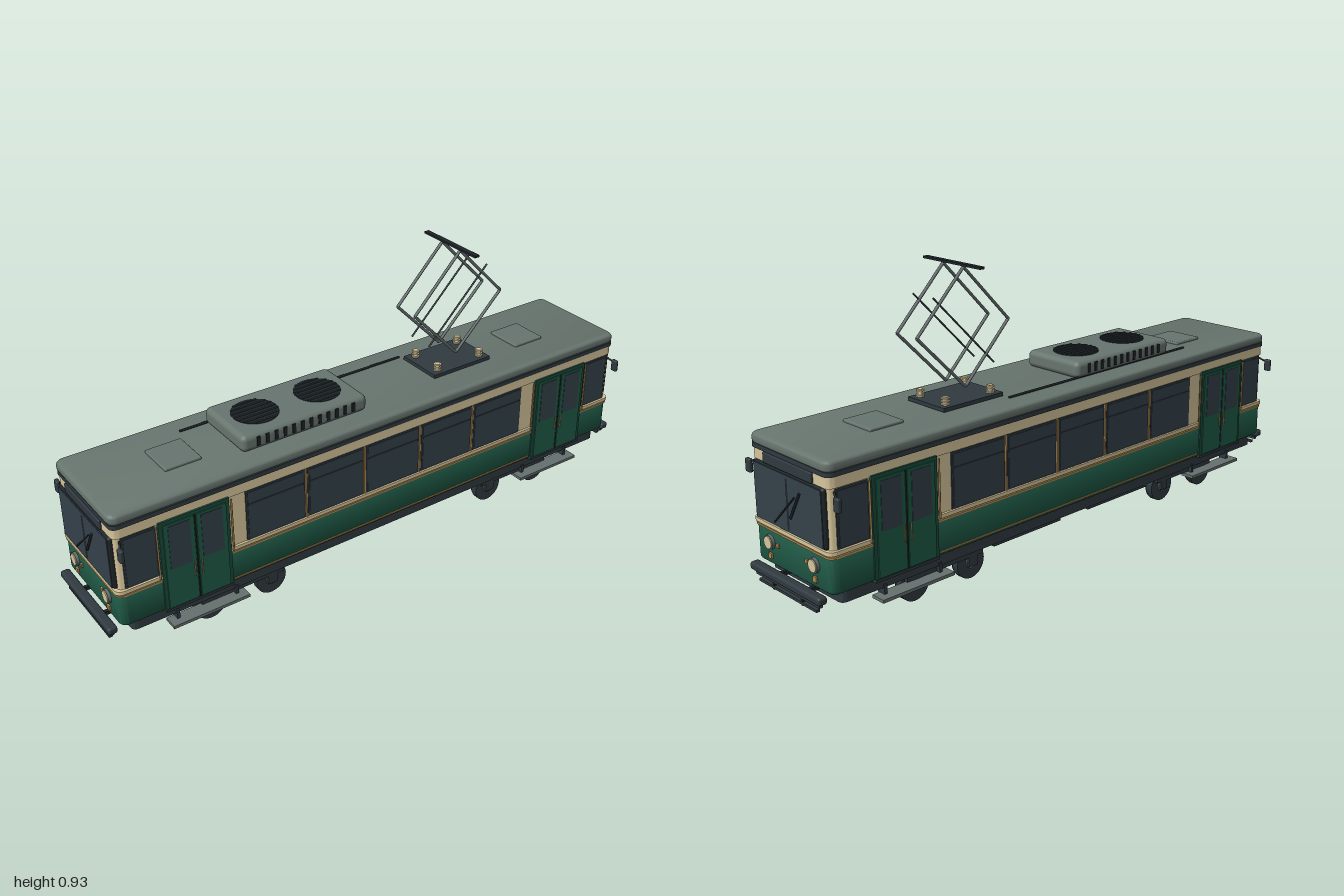
import * as THREE from 'three';
import { toCreasedNormals } from 'three/addons/utils/BufferGeometryUtils.js';
import { RoundedBoxGeometry } from 'three/addons/geometries/RoundedBoxGeometry.js';

const paint = (name, color) => Object.assign(new THREE.MeshStandardMaterial({ color }), { name });

export function createModel() {
  const green = paint('body green', 0x1f5a47);
  const darkGreen = paint('door green', 0x194b3c);
  const cream = paint('cream', 0xd8c79c);
  const gold = paint('gold trim', 0xb08a52);
  const roofGrey = paint('roof grey', 0x68756f);
  const glass = paint('glass', 0x34414a);
  const dark = paint('underframe dark', 0x303a40);
  const black = paint('black', 0x1d2327);
  const metal = paint('metal grey', 0x66706f);

  const tram = new THREE.Group();
  tram.name = 'tram';

  const group = (name, parent = tram) => {
    const g = new THREE.Group();
    g.name = name;
    parent.add(g);
    return g;
  };
  const add = (name, geo, mat, x, y, z, parent = tram) => {
    const m = new THREE.Mesh(geo, mat);
    m.name = name;
    m.position.set(x, y, z);
    parent.add(m);
    return m;
  };
  const box = (name, mat, w, h, d, x, y, z, parent) =>
    add(name, new THREE.BoxGeometry(w, h, d), mat, x, y, z, parent);
  const rounded = (name, mat, w, h, d, r, x, y, z, parent) =>
    add(name, new RoundedBoxGeometry(w, h, d, 3, r), mat, x, y, z, parent);
  const cyl = (name, mat, r, h, axis, x, y, z, parent, sides = 20) => {
    const geo = new THREE.CylinderGeometry(r, r, h, sides);
    if (axis === 'x') geo.rotateZ(-Math.PI / 2);
    if (axis === 'z') geo.rotateX(Math.PI / 2);
    return add(name, geo, mat, x, y, z, parent);
  };
  // Thin rod between two points
  const rod = (name, mat, a, b, r, parent) => {
    const p = new THREE.Vector3(...a), q = new THREE.Vector3(...b);
    const mid = p.clone().add(q).multiplyScalar(0.5);
    const m = cyl(name, mat, r, p.distanceTo(q), 'y', mid.x, mid.y, mid.z, parent, 8);
    m.quaternion.setFromUnitVectors(new THREE.Vector3(0, 1, 0), q.sub(p).normalize());
    return m;
  };
  // Horizontal slab with rounded plan corners and optional rounded rims
  const slab = (name, mat, hx, hz, r, y0, y1, bevel = 0) => {
    const x = hx - bevel, z = hz - bevel, s = new THREE.Shape();
    s.moveTo(-x + r, -z).lineTo(x - r, -z).quadraticCurveTo(x, -z, x, -z + r);
    s.lineTo(x, z - r).quadraticCurveTo(x, z, x - r, z);
    s.lineTo(-x + r, z).quadraticCurveTo(-x, z, -x, z - r);
    s.lineTo(-x, -z + r).quadraticCurveTo(-x, -z, -x + r, -z);
    const geo = new THREE.ExtrudeGeometry(s, {
      depth: y1 - y0 - 2 * bevel, curveSegments: 6, bevelEnabled: bevel > 0,
      bevelThickness: bevel, bevelSize: bevel, bevelSegments: 4,
    });
    geo.rotateX(-Math.PI / 2);
    return add(name, toCreasedNormals(geo, 0.6), mat, 0, y0 + bevel, 0);
  };

  // Car body, bottom to top
  slab('underframe', dark, 0.925, 0.17, 0.02, 0.092, 0.135);
  slab('lowerBody', green, 0.963, 0.185, 0.015, 0.128, 0.245, 0.012);
  slab('goldBelt', gold, 0.966, 0.187, 0.025, 0.236, 0.242);
  slab('creamBelt', cream, 0.968, 0.188, 0.025, 0.246, 0.258);
  slab('upperBody', cream, 0.958, 0.18, 0.025, 0.24, 0.44);
  slab('creamHeader', cream, 0.96, 0.184, 0.025, 0.435, 0.47);
  slab('gutter', dark, 0.963, 0.187, 0.025, 0.468, 0.482);
  slab('roof', roofGrey, 0.966, 0.187, 0.015, 0.478, 0.512, 0.015);

  // Sides, built once facing +z and turned for the other side
  for (const turn of [0, Math.PI]) {
    const side = group(turn ? 'rightSide' : 'leftSide');
    side.rotation.y = turn;
    box('lowerGoldStripe', gold, 1.18, 0.005, 0.004, 0, 0.142, 0.186, side);
    for (let i = 0; i < 5; i++) {
      const x = (i - 2) * 0.2175;
      box('windowFrame', dark, 0.207, 0.174, 0.006, x, 0.346, 0.18, side);
      box('windowGlass', glass, 0.195, 0.162, 0.006, x, 0.346, 0.182, side);
      box('windowTransom', dark, 0.195, 0.005, 0.006, x, 0.385, 0.184, side);
    }
    for (let i = 0; i < 4; i++) box('windowPillar', gold, 0.005, 0.174, 0.006, (i - 1.5) * 0.2175, 0.346, 0.182, side);
    for (const s of [-1, 1]) {
      box('cabWindowFrame', dark, 0.106, 0.172, 0.006, s * 0.885, 0.346, 0.18, side);
      box('cabWindow', glass, 0.094, 0.16, 0.006, s * 0.885, 0.346, 0.182, side);
      // Double door with glazed leaves
      const door = group('door', side);
      door.position.x = s * 0.711;
      box('doorFrame', darkGreen, 0.228, 0.31, 0.018, 0, 0.285, 0.181, door);
      box('doorSill', dark, 0.228, 0.008, 0.018, 0, 0.13, 0.184, door);
      for (const l of [-1, 1]) {
        box('doorLeaf', green, 0.098, 0.292, 0.008, l * 0.053, 0.283, 0.19, door);
        box('doorGlass', glass, 0.07, 0.148, 0.004, l * 0.053, 0.347, 0.1935, door);
        rod('doorHandle', gold, [l * 0.012, 0.22, 0.197], [l * 0.012, 0.27, 0.197], 0.002, door);
        rod('grabRail', gold, [l * 0.121, 0.25, 0.19], [l * 0.121, 0.43, 0.19], 0.003, door);
      }
      box('doorGap', black, 0.004, 0.292, 0.004, 0, 0.283, 0.192, door);
      box('step', metal, 0.26, 0.01, 0.05, s * 0.68, 0.068, 0.176, side);
      for (const h of [-0.1, 0.1]) box('stepBracket', dark, 0.01, 0.035, 0.03, s * 0.68 + h, 0.085, 0.16, side);
    }
  }

  // Driver ends, built once facing +x and turned for the other end
  for (const turn of [0, Math.PI]) {
    const end = group('driverEnd');
    end.rotation.y = turn;
    rounded('windshieldFrame', black, 0.03, 0.178, 0.336, 0.01, 0.953, 0.347, 0, end);
    box('windshield', glass, 0.006, 0.166, 0.322, 0.967, 0.347, 0, end);
    box('windshieldBar', metal, 0.004, 0.15, 0.003, 0.97, 0.345, 0, end);
    rounded('destinationBox', dark, 0.02, 0.032, 0.232, 0.004, 0.958, 0.452, 0, end);
    rod('wiper', black, [0.973, 0.276, 0.064], [0.973, 0.377, -0.04], 0.0025, end);
    rod('wiperArm', black, [0.974, 0.312, -0.018], [0.974, 0.396, -0.067], 0.004, end);
    for (const s of [-1, 1]) {
      cyl('headlightRim', metal, 0.022, 0.012, 'x', 0.966, 0.2, s * 0.108, end, 24);
      cyl('headlight', cream, 0.0185, 0.016, 'x', 0.967, 0.2, s * 0.108, end, 24);
      box('markerLamp', gold, 0.01, 0.012, 0.012, 0.963, 0.199, s * 0.07, end);
      box('turnLamp', gold, 0.012, 0.016, 0.016, 0.963, 0.158, s * 0.108, end);
      // Mirrors
      rod('mirrorArm', black, [0.94, 0.425, s * 0.18], [0.953, 0.41, s * 0.21], 0.003, end);
      rounded('mirror', dark, 0.014, 0.042, 0.024, 0.005, 0.953, 0.4, s * 0.212, end);
      box('bumperMount', black, 0.08, 0.012, 0.012, 0.945, 0.112, s * 0.07, end);
      box('bumperStem', black, 0.008, 0.05, 0.008, 0.983, 0.098, s * 0.07, end);
    }
    // Bumper and the rails below it
    rounded('bumper', dark, 0.03, 0.024, 0.34, 0.008, 0.985, 0.119, 0, end);
    box('upperGuardRail', dark, 0.012, 0.009, 0.31, 0.983, 0.099, 0, end);
    box('lowerGuardRail', dark, 0.012, 0.008, 0.28, 0.983, 0.081, 0, end);
  }

  // Bogies
  for (const s of [-1, 1]) {
    const bogie = group('bogie');
    bogie.position.x = s * 0.55;
    for (const x of [-0.107, 0.107]) {
      cyl('axle', dark, 0.01, 0.28, 'z', x, 0.053, 0, bogie, 12);
      for (const z of [-1, 1]) {
        cyl('wheel', dark, 0.053, 0.022, 'z', x, 0.053, z * 0.138, bogie, 32);
        cyl('wheelFlange', black, 0.05, 0.008, 'z', x, 0.053, z * 0.124, bogie, 32);
        cyl('wheelHub', metal, 0.02, 0.006, 'z', x, 0.053, z * 0.15, bogie);
        box('axleBox', dark, 0.034, 0.034, 0.014, x, 0.06, z * 0.154, bogie);
      }
    }
    for (const z of [-1, 1]) box('bogieSideFrame', dark, 0.29, 0.018, 0.02, 0, 0.084, z * 0.153, bogie);
    box('bolster', black, 0.06, 0.03, 0.28, 0, 0.08, 0, bogie);
  }

  // Equipment boxes under the floor
  box('equipmentBoxRear', dark, 0.29, 0.04, 0.26, -0.235, 0.08, 0);
  box('equipmentBoxFront', dark, 0.29, 0.04, 0.26, 0.185, 0.08, 0);

  // Roof hatches and conduit
  for (const s of [-1, 1]) rounded('roofHatch', roofGrey, 0.12, 0.014, 0.13, 0.004, s * 0.67, 0.513, 0);
  rod('roofConduit', black, [-0.59, 0.515, -0.107], [0.24, 0.515, -0.107], 0.004);

  // Cooling unit with side slots and two fans
  const cooler = group('coolingUnit');
  cooler.position.x = -0.275;
  rounded('coolerHousing', roofGrey, 0.45, 0.056, 0.23, 0.018, 0, 0.538, 0, cooler);
  for (let i = 0; i < 12; i++)
    for (const z of [-1, 1]) box('coolerSlot', black, 0.012, 0.03, 0.006, (i - 5.5) * 0.031, 0.54, z * 0.1145, cooler);
  for (const x of [-0.113, 0.113]) {
    cyl('fanOpening', black, 0.075, 0.006, 'y', x, 0.5645, 0, cooler, 32);
    for (let i = -3; i <= 3; i++) {
      const z = i * 0.02;
      box('fanSlat', dark, 2 * Math.sqrt(0.073 ** 2 - z * z), 0.004, 0.006, x, 0.568, z, cooler);
    }
  }

  // Current collector: base, insulators, two diamond frames and contact bar
  const collector = group('currentCollector');
  box('collectorBase', dark, 0.235, 0.012, 0.166, 0.36, 0.521, 0, collector);
  for (const x of [0.273, 0.45])
    for (const z of [-0.058, 0.058]) {
      cyl('insulatorCore', cream, 0.009, 0.028, 'y', x, 0.538, z, collector, 12);
      for (const y of [0.53, 0.539, 0.548]) cyl('insulatorRing', cream, 0.013, 0.004, 'y', x, y, z, collector, 16);
    }
  for (const z of [-0.045, 0.045]) {
    const p = [[0.36, 0.562, z], [0.54, 0.74, z], [0.36, 0.923, z], [0.184, 0.74, z]];
    p.forEach((a, i) => rod('diamondArm', metal, a, p[(i + 1) % 4], 0.005, collector));
    rod('diagonalStrut', dark, [0.245, 0.615, z], [0.476, 0.848, z], 0.003, collector);
  }
  box('contactBar', black, 0.018, 0.007, 0.254, 0.36, 0.93, 0, collector);

  return tram;
}
